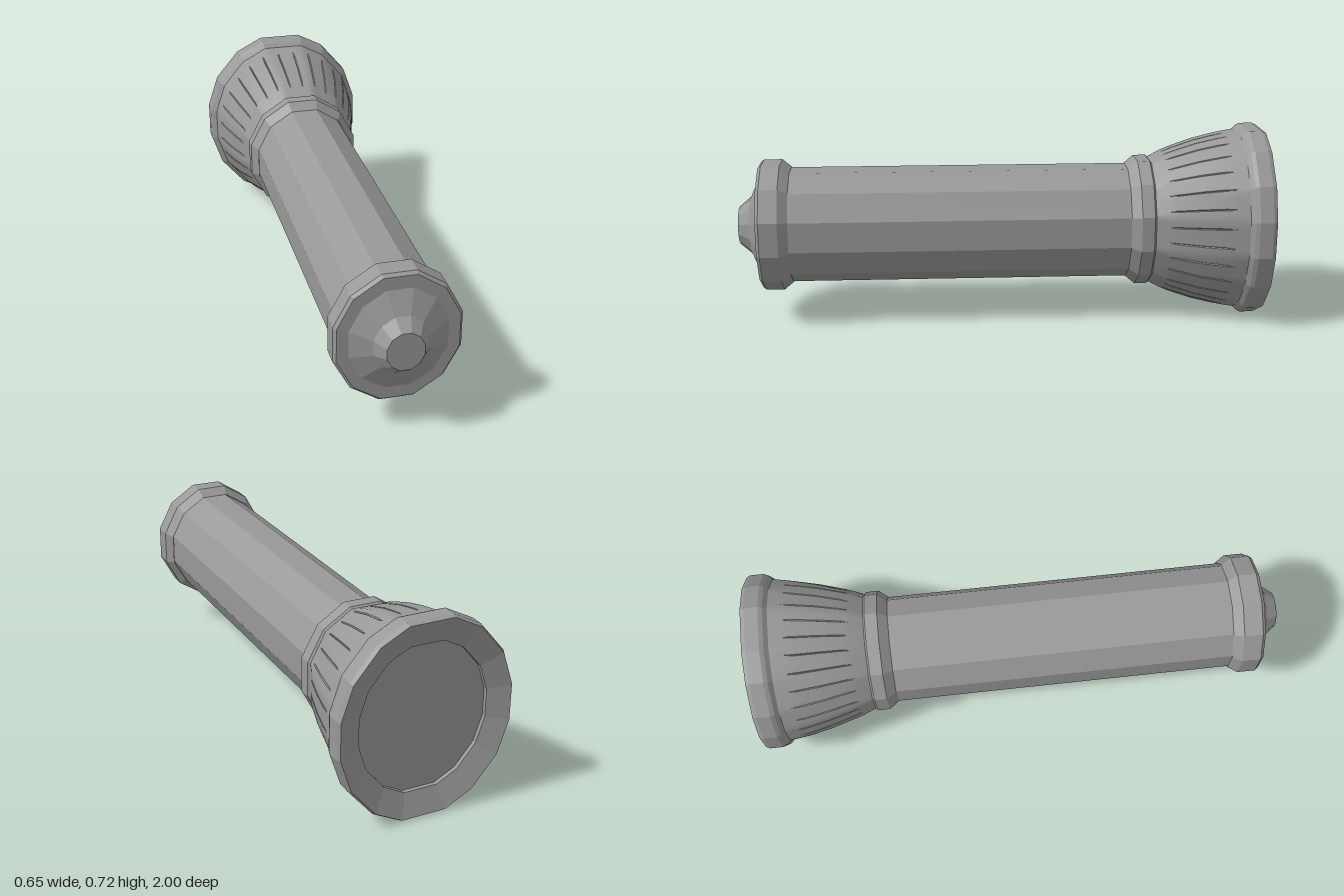
import * as THREE from 'three';
import { toCreasedNormals } from 'three/addons/utils/BufferGeometryUtils.js';

const CENTRE_Y = 0.36;

// Unit half-extent cross-sections, counter-clockwise seen from +z.
const mirrorQuadrant = (q) => {
  const r = [...q].reverse();
  return [
    ...q,
    ...r.map(([x, y]) => [-x, y]),
    ...q.map(([x, y]) => [-x, -y]),
    ...r.map(([x, y]) => [x, -y]),
  ];
};
const TWELVE = mirrorQuadrant([[1, 0.27], [0.73, 0.73], [0.27, 1]]);
const SIXTEEN = mirrorQuadrant([[1, 0.19], [0.87, 0.54], [0.58, 0.85], [0.26, 1]]);

// Point on a polygon's outline in direction t.
function outline(poly, t) {
  const dx = Math.cos(t), dy = Math.sin(t);
  let best = Infinity;
  poly.forEach(([x, y], i) => {
    const [u, v] = poly[(i + 1) % poly.length];
    const nx = v - y, ny = x - u;
    const d = nx * dx + ny * dy;
    if (d > 0) best = Math.min(best, (nx * x + ny * y) / d);
  });
  return [dx * best, dy * best];
}

// Skin a list of rings (arrays of [x, y, z]) running from +z to -z.
function skin(rings, { capStart = false, capEnd = false } = {}) {
  const n = rings[0].length, idx = [];
  for (let r = 0; r < rings.length - 1; r++) {
    for (let i = 0; i < n; i++) {
      const a = r * n + i, b = r * n + (i + 1) % n;
      idx.push(a, a + n, b, b, a + n, b + n);
    }
  }
  const last = (rings.length - 1) * n;
  for (let i = 1; i < n - 1; i++) {
    if (capStart) idx.push(0, i, i + 1);
    if (capEnd) idx.push(last, last + i + 1, last + i);
  }
  const geo = new THREE.BufferGeometry();
  geo.setAttribute('position', new THREE.Float32BufferAttribute(rings.flat(2), 3));
  geo.setIndex(idx);
  const faceted = geo.toNonIndexed();
  faceted.computeVertexNormals();
  return faceted;
}

// Profile entries are [z, half width, half height].
const sweep = (poly, profile, caps) =>
  skin(profile.map(([z, a, b]) => poly.map(([x, y]) => [x * a, y * b, z])), caps);

// Bell that blends from twelve to sixteen sides, scored with fine grooves.
function bellGeometry() {
  const profile = [
    [-0.57, 0.212, 0.236, 0], [-0.62, 0.233, 0.262, 0], [-0.65, 0.243, 0.274, 1],
    [-0.74, 0.27, 0.304, 1], [-0.82, 0.289, 0.323, 1], [-0.86, 0.296, 0.331, 0],
    [-0.92, 0.305, 0.341, 0],
  ];
  const grooves = 28, step = (Math.PI * 2) / grooves;
  const angles = [];
  for (let i = 0; i < grooves; i++) {
    for (const offset of [-0.35 * step, -0.01, 0, 0.01, 0.35 * step]) {
      angles.push({ t: (i + 0.5) * step + offset, groove: offset === 0 });
    }
  }
  const rings = profile.map(([z, a, b, scored], r) => {
    const k = r / (profile.length - 1);
    return angles.map(({ t, groove }) => {
      const p = outline(TWELVE, t), q = outline(SIXTEEN, t);
      const s = scored && groove ? 0.985 : 1;
      return [
        THREE.MathUtils.lerp(p[0], q[0], k) * a * s,
        THREE.MathUtils.lerp(p[1], q[1], k) * b * s,
        z,
      ];
    });
  });
  return toCreasedNormals(skin(rings), 0.5);
}

export function createModel() {
  const group = new THREE.Group();
  group.name = 'flashlight';
  const color = 0x999999;
  const faceted = new THREE.MeshStandardMaterial({ color, flatShading: true, side: THREE.DoubleSide });
  const smooth = new THREE.MeshStandardMaterial({ color, side: THREE.DoubleSide });

  const add = (name, geometry, material = faceted) => {
    const mesh = new THREE.Mesh(geometry, material);
    mesh.name = name;
    mesh.position.y = CENTRE_Y;
    group.add(mesh);
  };

  // Tail button flaring into the end plate
  add('tailButton', sweep(TWELVE, [
    [1, 0.064, 0.07], [0.955, 0.097, 0.107], [0.918, 0.17, 0.187],
  ], { capStart: true }));

  // Tail cap with bevelled edges
  add('tailCap', sweep(TWELVE, [
    [0.918, 0.17, 0.187], [0.917, 0.21, 0.233], [0.905, 0.22, 0.243],
    [0.835, 0.22, 0.243], [0.8, 0.197, 0.215],
  ]));

  // Long grip tube
  add('body', sweep(TWELVE, [[0.81, 0.193, 0.213], [-0.49, 0.193, 0.213]]));

  // Collar between tube and head
  add('collar', sweep(TWELVE, [
    [-0.482, 0.195, 0.214], [-0.518, 0.22, 0.243], [-0.565, 0.22, 0.243], [-0.575, 0.21, 0.233],
  ]));

  // Scored head
  add('head', bellGeometry(), smooth);

  // Rim, turning inward as a shallow cone to the lens seat
  add('rim', sweep(SIXTEEN, [
    [-0.905, 0.303, 0.338], [-0.92, 0.319, 0.353], [-0.935, 0.325, 0.36],
    [-0.985, 0.325, 0.36], [-1, 0.318, 0.353], [-0.972, 0.238, 0.266], [-0.955, 0.238, 0.266],
  ]));

  // Recessed flat lens
  add('lens', sweep(SIXTEEN, [[-0.95, 0.238, 0.266], [-0.957, 0.238, 0.266]], { capEnd: true }));

  return group;
}
